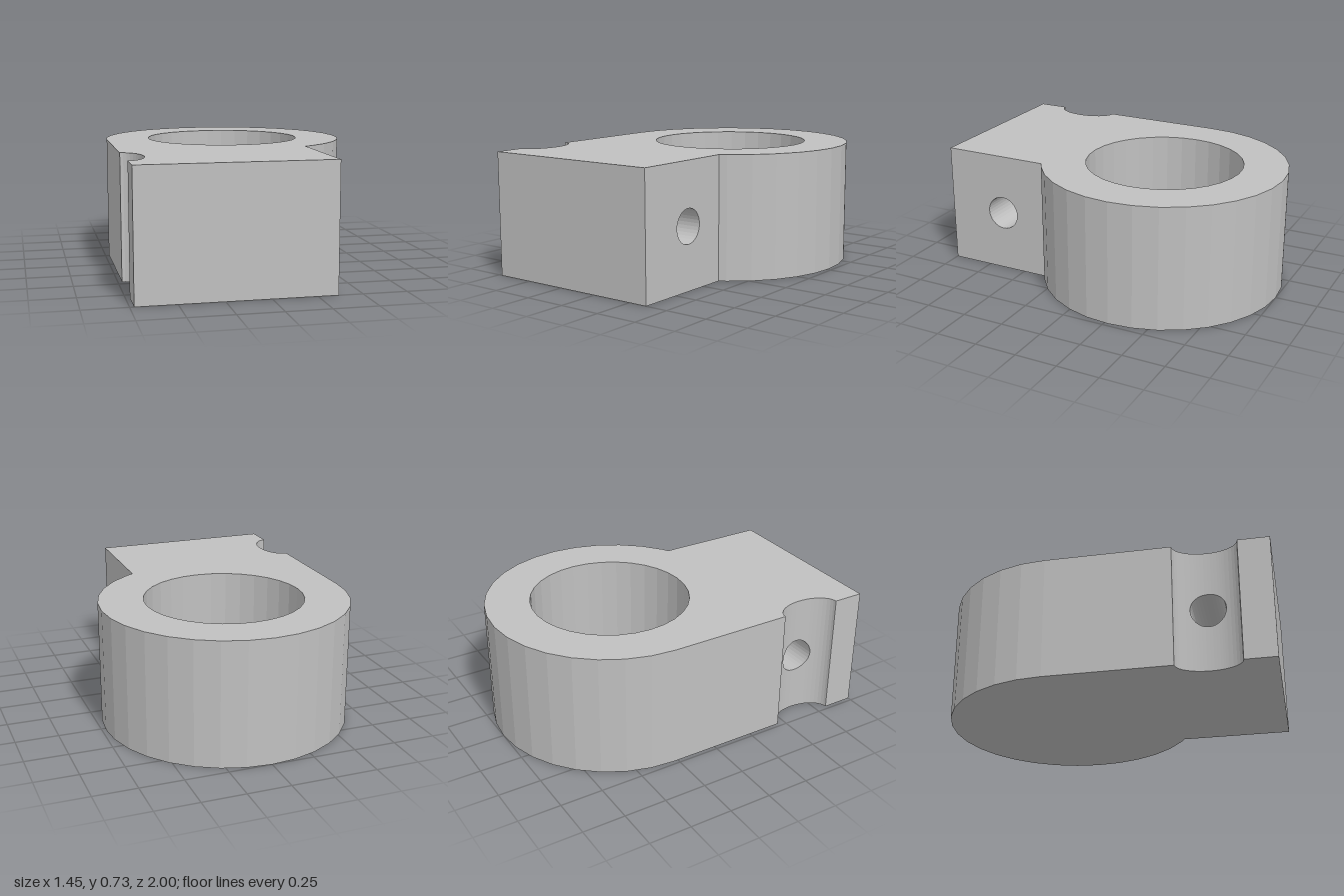
import * as THREE from 'three';

const R = 0.727, H = 0.727, CZ = -0.273;          // round body
const BORE = 0.465, FLOOR = 0.11;                 // blind bore
const XR = 0.364, ZF = 1;                         // clamp block edges
const HY = 0.364, HZ = 0.636, HR = 0.1;           // cross hole
const NA = 0.11, NB = 0.183;                      // notch half-axes (x, z)
const HALF = 16;                                  // segments per half of the cross hole

const notchX = t => -R + NA * Math.sqrt(Math.max(0, 1 - (t / NB) ** 2));

// Flat-shaded geometry from quads, each with four [x, y, z] corners
function fromQuads(quads) {
  const pos = [];
  for (const [a, b, c, d] of quads) pos.push(...a, ...b, ...c, ...a, ...c, ...d);
  const g = new THREE.BufferGeometry();
  g.setAttribute('position', new THREE.Float32BufferAttribute(pos, 3));
  g.computeVertexNormals();
  return g;
}

// Upright quad between two plan points [x, z]
const upright = (p, q, lp, lq, hp, hq) =>
  [[p[0], lp, p[1]], [q[0], lq, q[1]], [q[0], hq, q[1]], [p[0], hp, p[1]]];

// Plan outline, anticlockwise from above
function outline() {
  const pts = [[-R, ZF], [XR, ZF]];
  for (let i = 0; i <= HALF; i++) pts.push([XR, HZ + HR * Math.cos(Math.PI * i / HALF)]);
  pts.push([XR, 0.354]);
  for (let i = -5; i <= 16; i++) {
    const a = i * Math.PI / 16;
    pts.push([R * Math.cos(a), CZ - R * Math.sin(a)]);
  }
  // notch: elliptical ends, with columns matching the cross hole in the middle
  const edge = Math.acos(HR / NB), ts = [];
  for (let i = 0; i < 6; i++) ts.push(-NB * Math.cos(edge * i / 6));
  for (let i = 0; i <= HALF; i++) ts.push(-HR * Math.cos(Math.PI * i / HALF));
  for (let i = 5; i >= 0; i--) ts.push(NB * Math.cos(edge * i / 6));
  for (const t of ts) pts.push([notchX(t), HZ + t]);
  return pts;
}

// Outer walls, opened where the cross hole passes through
function wallGeometry(pts) {
  const quads = [];
  const rise = p => Math.sqrt(Math.max(0, HR * HR - (p[1] - HZ) ** 2));
  pts.forEach((p, i) => {
    const q = pts[(i + 1) % pts.length];
    const pierced = Math.abs((p[1] + q[1]) / 2 - HZ) < HR && Math.abs(p[1] - q[1]) < HR;
    if (pierced) {
      quads.push(upright(p, q, 0, 0, HY - rise(p), HY - rise(q)));
      quads.push(upright(p, q, HY + rise(p), HY + rise(q), H, H));
    } else quads.push(upright(p, q, 0, 0, H, H));
  });
  return fromQuads(quads);
}

export function createModel() {
  const group = new THREE.Group();
  group.name = 'clampBlock';
  const grey = new THREE.MeshStandardMaterial({ color: 0xc0c0c0 });
  grey.name = 'grey';
  const add = (name, geometry) => {
    const m = new THREE.Mesh(geometry, grey);
    m.name = name;
    group.add(m);
    return m;
  };

  const pts = outline();
  add('outerWalls', wallGeometry(pts));

  // Top face with the bore opening
  const top = new THREE.Shape(pts.map(([x, z]) => new THREE.Vector2(x, -z)));
  const ring = [];
  for (let i = 0; i < 32; i++) {
    const a = i * Math.PI / 16;
    ring.push([BORE * Math.cos(a), CZ + BORE * Math.sin(a)]);
  }
  top.holes.push(new THREE.Path(ring.map(([x, z]) => new THREE.Vector2(x, -z))));
  add('topFace', new THREE.ShapeGeometry(top).rotateX(-Math.PI / 2).translate(0, H, 0));

  // Closed underside
  const base = new THREE.Shape(pts.map(([x, z]) => new THREE.Vector2(x, z)));
  add('underside', new THREE.ShapeGeometry(base).rotateX(Math.PI / 2));

  // Blind bore: inward-facing wall and floor
  add('boreWall', fromQuads(ring.map((p, i) =>
    upright(p, ring[(i + 1) % 32], FLOOR, FLOOR, H, H))));
  add('boreFloor', new THREE.CircleGeometry(BORE, 32).rotateX(-Math.PI / 2).translate(0, FLOOR, CZ));

  // Cross hole from the notch to the side face
  const tube = [];
  const at = (i, side) => {
    const a = Math.PI * i / HALF, t = HR * Math.cos(a);
    return [side ? XR : notchX(t), HY + HR * Math.sin(a), HZ + t];
  };
  for (let i = 0; i < 2 * HALF; i++) tube.push([at(i, 0), at(i + 1, 0), at(i + 1, 1), at(i, 1)]);
  add('crossHole', fromQuads(tube));

  return group;
}
